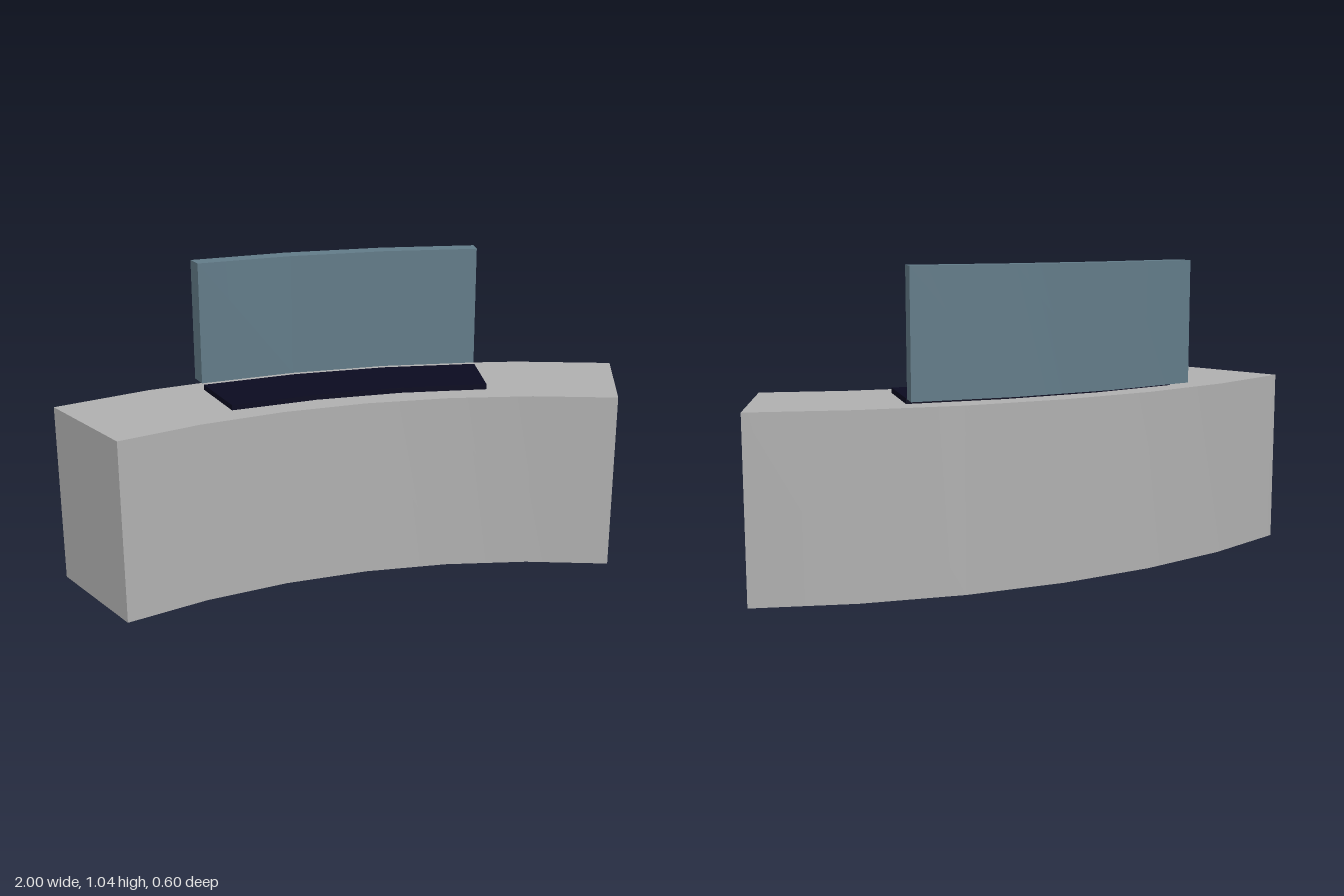
import * as THREE from 'three';
import { toCreasedNormals } from 'three/addons/utils/BufferGeometryUtils.js';

// All parts are arc segments around one vertical axis in front of the model
const OUTER = 2.613;
const CENTRE_Z = OUTER - 0.3;

function arcBlock(name, material, { inner, outer, halfAngle, segments, bottom, top }) {
  const a = THREE.MathUtils.degToRad(halfAngle);
  const arc = (r) => Array.from({ length: segments + 1 }, (_, i) => {
    const t = -a + (2 * a * i) / segments;
    return new THREE.Vector2(r * Math.sin(t), r * Math.cos(t) - CENTRE_Z);
  });
  const shape = new THREE.Shape([...arc(inner), ...arc(outer).reverse()]);
  const geometry = new THREE.ExtrudeGeometry(shape, { depth: top - bottom, bevelEnabled: false });
  geometry.rotateX(-Math.PI / 2).translate(0, bottom, 0);
  const mesh = new THREE.Mesh(toCreasedNormals(geometry, Math.PI / 6), material);
  mesh.name = name;
  return mesh;
}

export function createModel() {
  const grey = new THREE.MeshStandardMaterial({ color: 0xb0b0b0 });
  grey.name = 'stone grey';
  const blue = new THREE.MeshStandardMaterial({ color: 0x627b88 });
  blue.name = 'slate blue';
  const navy = new THREE.MeshStandardMaterial({ color: 0x0a0a20 });
  navy.name = 'dark navy';

  const group = new THREE.Group();
  group.name = 'curvedBench';
  group.add(
    // Curved solid plinth
    arcBlock('base', grey, { inner: 2.179, outer: OUTER, halfAngle: 22.5, segments: 6, bottom: 0, top: 0.61 }),
    // Thin pad lying on the plinth
    arcBlock('seatPad', navy, { inner: 2.267, outer: 2.526, halfAngle: 11.25, segments: 3, bottom: 0.61, top: 0.628 }),
    // Upright panel, raised to the level of the pad's top
    arcBlock('backPanel', blue, { inner: 2.544, outer: OUTER, halfAngle: 11.25, segments: 3, bottom: 0.628, top: 1.045 }),
  );
  return group;
}
